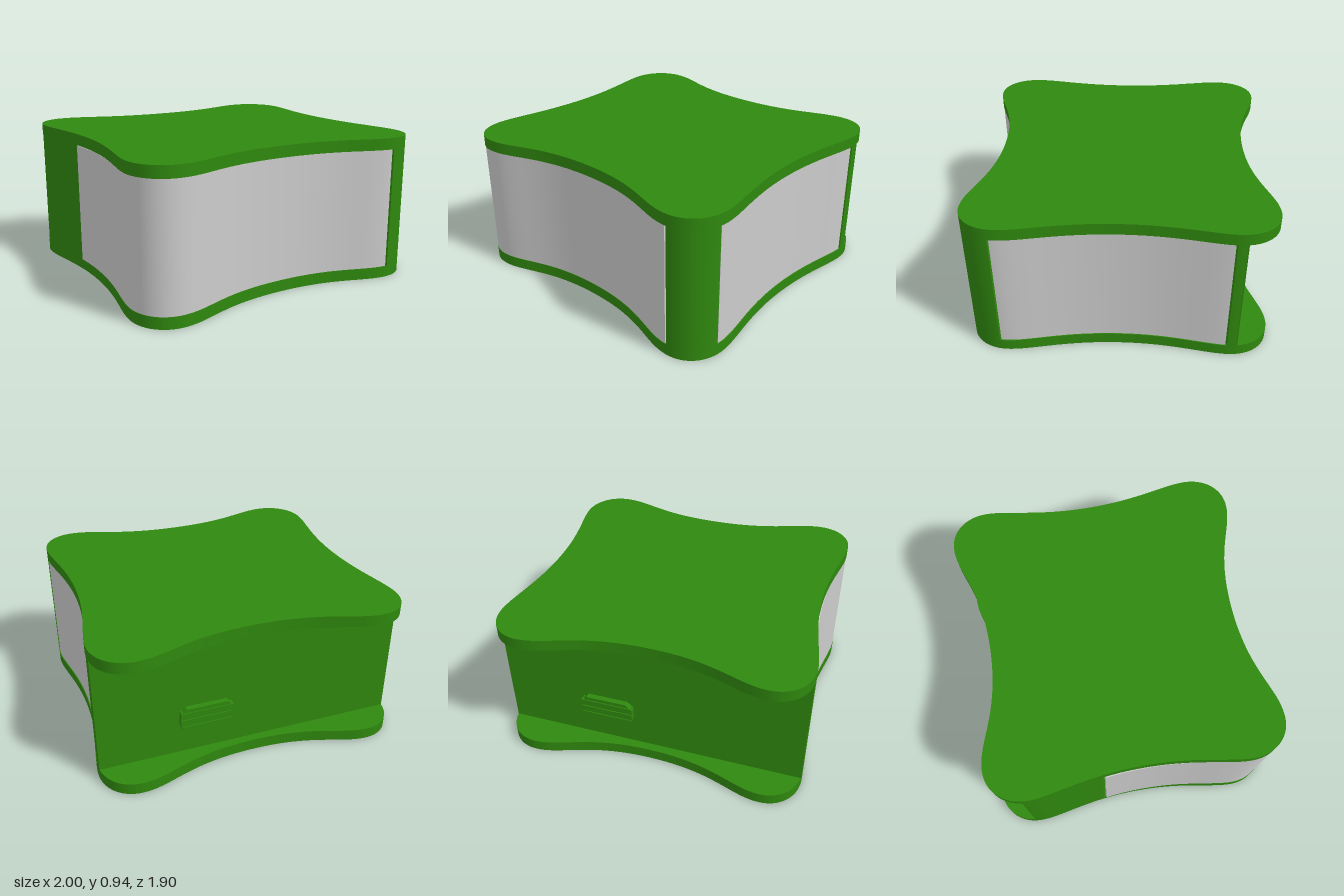
import * as THREE from 'three';
import { toCreasedNormals } from 'three/addons/utils/BufferGeometryUtils.js';

const BACK = -0.745, LOW = 0.075, HIGH = 0.87, TOP = 0.945;
const V = (x, y) => new THREE.Vector2(x, y);

// One quarter of the pillow outline in (x, z), front centre to right centre
function quarterOutline() {
  const path = new THREE.CurvePath();
  path.add(new THREE.CubicBezierCurve(V(0, 0.8), V(0.45, 0.8), V(0.58, 0.95), V(0.77, 0.95)));
  path.add(new THREE.CubicBezierCurve(V(0.77, 0.95), V(0.91, 0.95), V(1, 0.84), V(1, 0.7)));
  path.add(new THREE.CubicBezierCurve(V(1, 0.7), V(1, 0.55), V(0.92, 0.35), V(0.92, 0)));
  return path.getPoints(48);
}

// Whole loop: back centre, right, front, left, back centre
function fullOutline() {
  const q = quarterOutline();
  const flip = (sx, sz) => q.map(p => V(p.x * sx, p.y * sz));
  return [
    ...flip(1, -1),
    ...flip(1, 1).reverse().slice(1),
    ...flip(-1, 1).slice(1),
    ...flip(-1, -1).reverse().slice(1, -1),
  ];
}

// Move each point along its outward normal by offset(point)
function offsetPath(points, offset) {
  return points.map((p, i) => {
    const a = points[Math.max(i - 1, 0)], b = points[Math.min(i + 1, points.length - 1)];
    const t = b.clone().sub(a).normalize();
    const d = offset(p);
    return V(p.x + t.y * d, p.y - t.x * d);
  });
}

// Upright slab with an (x, z) outline between two heights
function slab(points, y0, y1) {
  const shape = new THREE.Shape(points.map(p => V(p.x, -p.y)));
  const geo = new THREE.ExtrudeGeometry(shape, { depth: y1 - y0, bevelEnabled: false });
  geo.rotateX(-Math.PI / 2).translate(0, y0, 0);
  return toCreasedNormals(geo, 0.5);
}

export function createModel() {
  const group = new THREE.Group();
  const green = new THREE.MeshStandardMaterial({ color: 0x2f880e });
  const grey = new THREE.MeshStandardMaterial({ color: 0xcccccc });
  const add = (name, geo, mat) => {
    const mesh = new THREE.Mesh(geo, mat);
    mesh.name = name;
    group.add(mesh);
    return mesh;
  };

  // Top and bottom plates
  const outline = fullOutline();
  add('bottomPlate', slab(outline, 0, LOW), green);
  add('topPlate', slab(outline, HIGH, TOP), green);

  // Body with a flat back wall and shallow recesses for the panels
  const wall = outline.filter(p => p.y > BACK + 0.002);
  wall.unshift(V(0.998, BACK));
  wall.push(V(-0.998, BACK));
  const onSide = p => p.x > 0 && p.y > -0.68 && p.y < 0.75;
  const onFront = p => (p.y > 0.75 && p.x < 0.76) || (p.x < 0 && p.y > -0.22);
  const depth = 0.02;
  const recessed = offsetPath(wall, p => (onSide(p) || onFront(p) ? -depth : 0));
  add('body', slab(recessed, LOW, HIGH), green);

  // Curved panels: one on the right, one wrapping the front and left
  const panel = (name, inside, outer) => {
    const out = offsetPath(wall, outer).filter((p, i) => inside(wall[i]));
    const inn = offsetPath(wall, () => -depth).filter((p, i) => inside(wall[i]));
    add(name, slab([...out, ...inn.reverse()], LOW, HIGH), grey);
  };
  panel('sidePanel', onSide, () => -0.006);
  panel('wrapPanel', onFront, p =>
    -0.003 + (p.x < -0.85 && p.y < 0.6 ? 0.011 * (0.6 - p.y) / 0.82 : 0));

  // Raised switch on the back wall, with grip ridges
  const w = 0.175, h = 0.081, c = 0.04;
  const plate = new THREE.Shape([
    V(-w + c, -h), V(w - c, -h), V(w, -h + c), V(w, h - c),
    V(w - c, h), V(-w + c, h), V(-w, h - c), V(-w, -h + c),
  ]);
  const switchGeo = new THREE.ExtrudeGeometry(plate, { depth: 0.04, bevelEnabled: false });
  add('switch', switchGeo, green).position.set(0.3, 0.335, BACK - 0.036);
  for (const y of [0.285, 0.335, 0.385]) {
    add('switchRidge', new THREE.BoxGeometry(0.34, 0.014, 0.045), green)
      .position.set(0.3, y, BACK - 0.0195);
  }
  return group;
}
